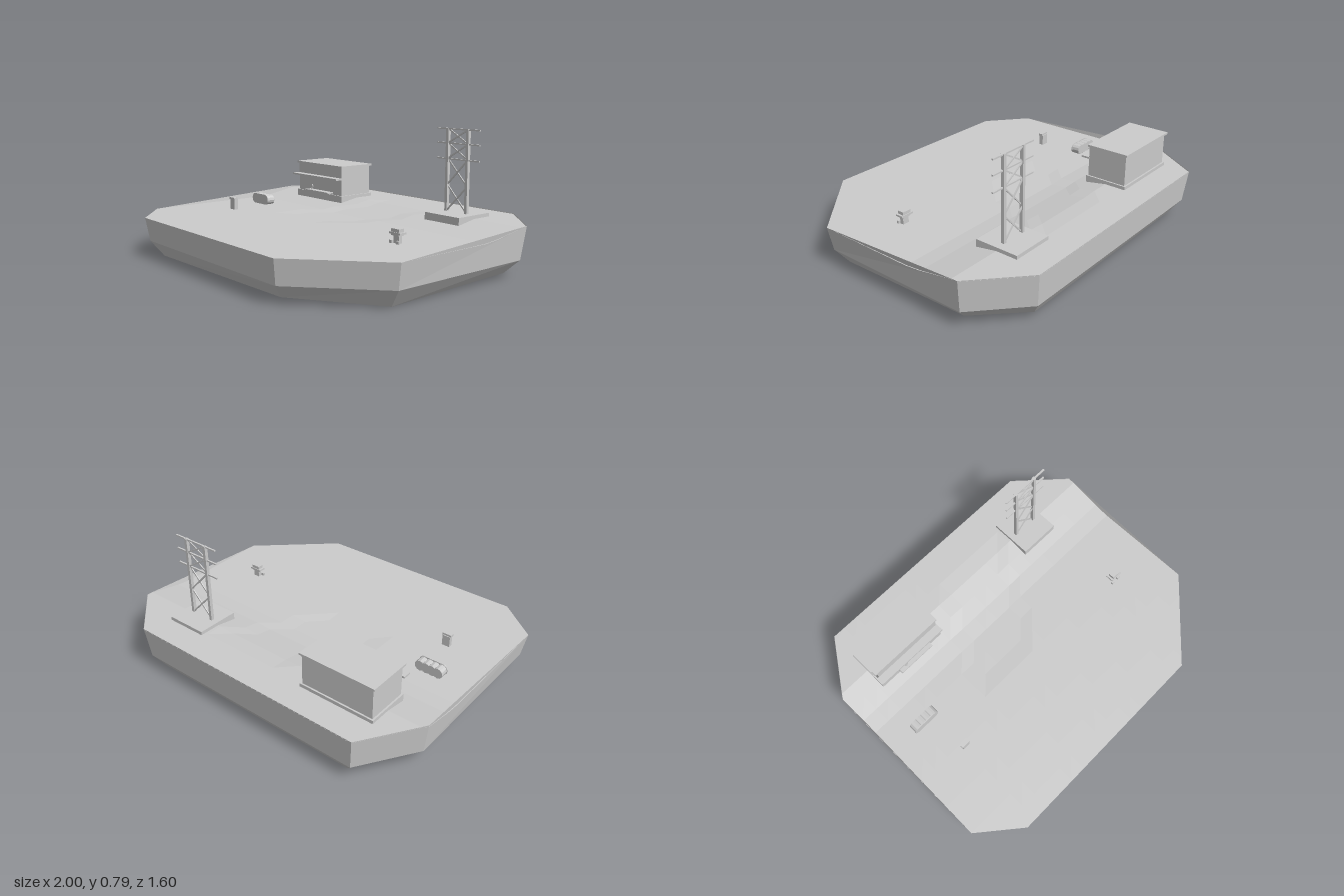
import * as THREE from 'three';

const grey = new THREE.MeshStandardMaterial({ color: 0xcccccc, flatShading: true });
const greyThin = new THREE.MeshStandardMaterial({ color: 0xcccccc, flatShading: true, side: THREE.DoubleSide });

// Eight-sided outline, clockwise seen from above: [x, z, rim height, keel height]
const outline = [
  [-0.76, 0.8, 0.24, 0.01], [-1, 0.6, 0.24, 0.025], [-1, -0.47, 0.29, 0.025], [-0.78, -0.8, 0.29, 0.015],
  [0.72, -0.8, 0.29, 0.012], [1, -0.54, 0.29, 0.022], [1, 0.4, 0.24, 0], [0.56, 0.8, 0.24, 0.025],
];

function add(parent, name, geometry, x = 0, y = 0, z = 0, material = grey) {
  const mesh = new THREE.Mesh(geometry, material);
  mesh.name = name;
  mesh.position.set(x, y, z);
  parent.add(mesh);
  return mesh;
}

// Box given by its limits on each axis
function box(parent, name, x0, x1, y0, y1, z0, z1) {
  return add(parent, name, new THREE.BoxGeometry(x1 - x0, y1 - y0, z1 - z0),
    (x0 + x1) / 2, (y0 + y1) / 2, (z0 + z1) / 2);
}

function fromTriangles(points) {
  const g = new THREE.BufferGeometry();
  g.setAttribute('position', new THREE.Float32BufferAttribute(points.flat(), 3));
  g.computeVertexNormals();
  return g;
}

// Tapering hull: rim, chine and keel rings joined by quads, closed below
function hullGeometry() {
  const rings = [
    outline.map(([x, z, top]) => [x, top, z]),
    outline.map(([x, z]) => [x * 0.975, 0.1, z * 0.975]),
    outline.map(([x, z, , keel]) => [x * 0.9, keel, z * 0.9]),
  ];
  const tris = [];
  const n = outline.length;
  for (let r = 0; r < 2; r++) {
    for (let i = 0; i < n; i++) {
      const j = (i + 1) % n;
      const [a, b, c, d] = [rings[r][i], rings[r][j], rings[r + 1][j], rings[r + 1][i]];
      tris.push(a, b, c, a, c, d);
    }
  }
  for (let i = 0; i < n; i++) tris.push([0, 0.018, 0], rings[2][i], rings[2][(i + 1) % n]);
  return fromTriangles(tris);
}

// Ground height: flat in front, rising in a bank to the rear, with a shallow channel
function groundHeight(x, z) {
  const lerp = THREE.MathUtils.lerp;
  let y = 0.24;
  if (z < -0.49) y = 0.285;
  else if (z < -0.29) y = lerp(0.25, 0.285, (-0.3 - z) / 0.2);
  else if (z < -0.2) y = lerp(0.24, 0.25, (-0.2 - z) / 0.1);
  const inChannel = z < 0.01 && z > -0.55 && x > -0.35 - z * -0.45 * -1 && x < 0.05 - z * 0.6;
  return inChannel ? y - 0.006 : y;
}

// Keep the part of a polygon that lies inside the convex outline
function clipToOutline(poly) {
  outline.forEach(([ax, az], i) => {
    const [bx, bz] = outline[(i + 1) % outline.length];
    const side = (p) => (bx - ax) * (p[2] - az) - (bz - az) * (p[0] - ax);
    const kept = [];
    poly.forEach((p, k) => {
      const q = poly[(k + 1) % poly.length];
      const sp = side(p), sq = side(q);
      if (sp >= 0) kept.push(p);
      if (sp * sq < 0) kept.push(p.map((v, c) => v + (q[c] - v) * sp / (sp - sq)));
    });
    poly = kept;
  });
  return poly;
}

function groundGeometry() {
  const tris = [];
  const at = (i, k) => [i / 10, groundHeight(i / 10, k / 10), k / 10];
  for (let i = -10; i < 10; i++) {
    for (let k = -8; k < 8; k++) {
      const [a, b, c, d] = [at(i, k), at(i, k + 1), at(i + 1, k + 1), at(i + 1, k)];
      for (const tri of [[a, b, d], [b, c, d]]) {
        const p = clipToOutline(tri);
        for (let m = 1; m + 1 < p.length; m++) tris.push(p[0], p[m], p[m + 1]);
      }
    }
  }
  return fromTriangles(tris);
}

// Thin bar between two points in the plane of the tower
function brace(parent, x0, y0, x1, y1, z) {
  const bar = add(parent, 'brace', new THREE.BoxGeometry(Math.hypot(x1 - x0, y1 - y0), 0.008, 0.006),
    (x0 + x1) / 2, (y0 + y1) / 2, z);
  bar.rotation.z = Math.atan2(y1 - y0, x1 - x0);
}

function group(parent, name) {
  const g = new THREE.Group();
  g.name = name;
  parent.add(g);
  return g;
}

export function createModel() {
  const model = new THREE.Group();
  model.name = 'floatingPlatform';

  add(model, 'hull', hullGeometry(), 0, 0, 0, greyThin);
  add(model, 'ground', groundGeometry(), 0, 0, 0, greyThin);

  // House with flat roof, canopy and counter
  const house = group(model, 'house');
  box(house, 'foundation', -0.78, -0.315, 0.24, 0.305, -0.63, -0.366);
  box(house, 'walls', -0.77, -0.325, 0.3, 0.49, -0.62, -0.375);
  box(house, 'roof', -0.785, -0.315, 0.488, 0.5, -0.632, -0.368);
  box(house, 'canopy', -0.785, -0.32, 0.41, 0.421, -0.376, -0.326);
  box(house, 'counter', -0.65, -0.41, 0.313, 0.321, -0.376, -0.33);
  box(house, 'counterPost', -0.603, -0.597, 0.32, 0.345, -0.35, -0.344);
  const dial = add(house, 'dial', new THREE.CylinderGeometry(0.013, 0.013, 0.006, 10), -0.6, 0.345, -0.347);
  dial.rotation.x = Math.PI / 2;

  // Lattice tower on a pad
  const tower = group(model, 'tower');
  const [leftX, rightX, towerZ] = [0.47, 0.617, -0.5];
  box(tower, 'pad', 0.42, 0.675, 0.24, 0.306, -0.63, -0.37);
  for (const x of [leftX, rightX]) {
    box(tower, 'post', x - 0.009, x + 0.009, 0.3, 0.785, towerZ - 0.01, towerZ + 0.01);
  }
  const levels = [0.306, 0.458, 0.61, 0.7, 0.782];
  for (let i = 0; i < 4; i++) {
    brace(tower, leftX, levels[i], rightX, levels[i + 1], towerZ + 0.003);
    brace(tower, leftX, levels[i + 1], rightX, levels[i], towerZ - 0.003);
  }
  for (const y of levels.slice(2)) {
    box(tower, 'crossarm', 0.39, 0.7, y - 0.004, y + 0.004, towerZ - 0.005, towerZ + 0.005);
  }

  // Row of drums behind a rounded front plate
  const drums = group(model, 'drums');
  for (let i = 0; i < 4; i++) {
    const drum = add(drums, 'drum', new THREE.CylinderGeometry(0.031, 0.031, 0.05, 12), -0.802 + i * 0.037, 0.271, -0.053);
    drum.rotation.x = Math.PI / 2;
  }
  const plate = new THREE.Shape();
  plate.absarc(0.055, 0, 0.033, -Math.PI / 2, Math.PI / 2);
  plate.absarc(-0.055, 0, 0.033, Math.PI / 2, Math.PI * 1.5);
  add(drums, 'frontPlate', new THREE.ExtrudeGeometry(plate, { depth: 0.006, bevelEnabled: false, curveSegments: 6 }),
    -0.747, 0.272, -0.03);

  // Small cabinet
  const cabinet = group(model, 'cabinet');
  box(cabinet, 'cabinetBody', -0.705, -0.657, 0.235, 0.305, 0.208, 0.234);
  box(cabinet, 'cabinetLid', -0.709, -0.653, 0.302, 0.316, 0.213, 0.238);

  // Raised box with two pedals in front
  const stand = group(model, 'stand');
  box(stand, 'standLeg', 0.677, 0.717, 0.235, 0.285, 0.112, 0.135);
  box(stand, 'standBox', 0.668, 0.722, 0.28, 0.316, 0.105, 0.142);
  box(stand, 'standTray', 0.655, 0.735, 0.288, 0.298, 0.1, 0.146);
  for (const x of [0.67, 0.718]) box(stand, 'pedal', x - 0.01, x + 0.01, 0.238, 0.256, 0.138, 0.15);

  return model;
}
